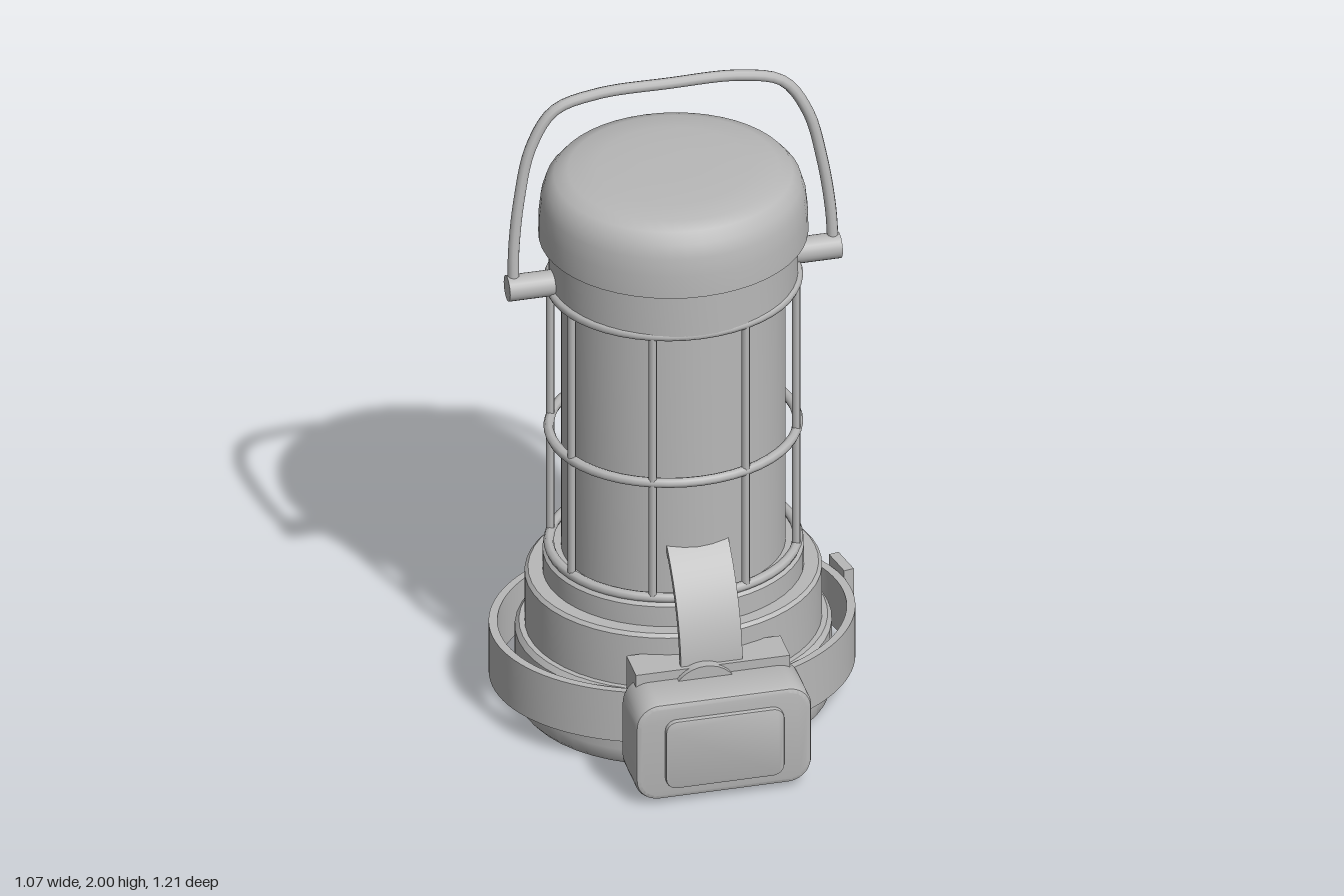
import * as THREE from 'three';
import { toCreasedNormals } from 'three/addons/utils/BufferGeometryUtils.js';

const grey = new THREE.MeshStandardMaterial({ color: 0xb8b8b8 });
grey.name = 'plain grey';
const CX = -0.014; // lantern axis

export function createModel() {
  const model = new THREE.Group();
  model.name = 'lantern';

  const add = (name, geo, x = 0, y = 0, z = 0, parent = model) => {
    const mesh = new THREE.Mesh(geo, grey);
    mesh.name = name;
    mesh.position.set(x, y, z);
    parent.add(mesh);
    return mesh;
  };

  // Turned part, slightly flattened in depth
  const turned = (name, points, depth) => {
    const geo = new THREE.LatheGeometry(points.map(p => new THREE.Vector2(...p)), 48);
    geo.scale(1, 1, depth);
    return add(name, toCreasedNormals(geo, 0.6), CX);
  };

  // Box with rounded corners in the XY plane and bevelled front and back edges
  const pad = (w, h, d, r, bevel) => {
    const a = w / 2 - bevel, b = h / 2 - bevel, s = new THREE.Shape();
    s.moveTo(-a + r, -b);
    s.lineTo(a - r, -b).absarc(a - r, -b + r, r, -Math.PI / 2, 0);
    s.lineTo(a, b - r).absarc(a - r, b - r, r, 0, Math.PI / 2);
    s.lineTo(-a + r, b).absarc(-a + r, b - r, r, Math.PI / 2, Math.PI);
    s.lineTo(-a, -b + r).absarc(-a + r, -b + r, r, Math.PI, Math.PI * 1.5);
    const geo = new THREE.ExtrudeGeometry(s, {
      depth: d - 2 * bevel, bevelSize: bevel, bevelThickness: bevel,
      bevelSegments: 2, curveSegments: 6,
    });
    geo.translate(0, 0, -d / 2 + bevel);
    return toCreasedNormals(geo, 0.6);
  };

  // Stepped base
  turned('base', [
    [0, 0], [0.435, 0], [0.448, 0.015], [0.452, 0.05], [0.452, 0.235], [0.44, 0.25],
    [0.424, 0.25], [0.424, 0.415], [0.414, 0.425], [0.373, 0.425], [0.373, 0.49],
    [0.36, 0.502], [0, 0.502],
  ], 0.912);

  // Glass, collar and domed cap
  turned('glass', [[0.32, 0.49], [0.32, 1.39]], 0.915);
  turned('collar', [[0, 1.375], [0.355, 1.375], [0.355, 1.54], [0, 1.54]], 0.95);
  turned('cap', [
    [0, 1.53], [0.384, 1.53], [0.383, 1.6], [0.377, 1.655], [0.365, 1.695],
    [0.34, 1.725], [0.3, 1.739], [0.22, 1.747], [0.1, 1.75], [0, 1.75],
  ], 0.955);

  // Wire cage: three hoops and eight uprights
  const cage = new THREE.Group();
  cage.name = 'cage';
  cage.position.x = CX;
  model.add(cage);
  for (const y of [0.512, 0.893, 1.38]) {
    const hoop = new THREE.TorusGeometry(0.355, 0.015, 8, 48);
    hoop.rotateX(Math.PI / 2).scale(1, 1, 0.915);
    add('cageHoop', hoop, 0, y, 0, cage);
  }
  for (let i = 0; i < 8; i++) {
    const a = (i + 0.5) * Math.PI / 4;
    add('cageBar', new THREE.CylinderGeometry(0.012, 0.012, 0.88, 8),
      0.355 * Math.cos(a), 0.945, 0.325 * Math.sin(a), cage);
  }

  // Carrying handle leaning slightly back, with its two pivots
  const half = [[0.467, 1.42], [0.463, 1.53], [0.442, 1.69], [0.405, 1.84],
    [0.335, 1.945], [0.21, 1.98]];
  const path = [...half.map(([x, y]) => [-x, y]), [0, 1.984],
    ...half.map(p => [...p]).reverse()];
  const curve = new THREE.CatmullRomCurve3(
    path.map(([x, y]) => new THREE.Vector3(x, y, -(y - 1.41) * 0.108)));
  add('handle', new THREE.TubeGeometry(curve, 64, 0.0165, 10), CX);
  for (const side of [-1, 1]) {
    const pin = new THREE.CylinderGeometry(0.038, 0.038, 0.15, 24);
    pin.rotateZ(Math.PI / 2);
    add('handlePivot', pin, CX + side * 0.411, 1.412, 0);
  }

  // Head strap lying around the base
  const ring = new THREE.Shape().absellipse(0, 0, 0.525, 0.43, 0, Math.PI * 2);
  ring.holes.push(new THREE.Path().absellipse(0, 0, 0.5, 0.41, 0, Math.PI * 2, true));
  const strap = new THREE.ExtrudeGeometry(ring, { depth: 0.165, bevelEnabled: false, curveSegments: 48 });
  strap.rotateX(-Math.PI / 2);
  add('headStrap', toCreasedNormals(strap, 0.6), CX, 0.088, -0.015);
  add('strapBuckle', new THREE.BoxGeometry(0.03, 0.21, 0.1), 0.51, 0.172, -0.13).rotation.y = 0.2;

  // Top strap arching from front to back
  const arch = new THREE.Shape();
  arch.absellipse(0, 0, 0.465, 0.436, 0, Math.PI);
  arch.lineTo(-0.445, 0);
  arch.absellipse(0, 0, 0.445, 0.416, Math.PI, 0, true);
  const over = new THREE.ExtrudeGeometry(arch, { depth: 0.18, bevelEnabled: false, curveSegments: 24 });
  over.rotateY(-Math.PI / 2);
  add('topStrap', toCreasedNormals(over, 0.6), 0.076, 0.33, -0.017);

  // Front lamp
  add('lampMount', new THREE.BoxGeometry(0.45, 0.3, 0.11), CX, 0.21, 0.405);
  const hinge = new THREE.CylinderGeometry(0.1, 0.1, 0.05, 32);
  hinge.rotateX(Math.PI / 2);
  add('lampHinge', hinge, -0.04, 0.27, 0.45);
  add('lampBody', pad(0.515, 0.315, 0.17, 0.055, 0.015), CX, 0.174, 0.505);
  add('lampWindow', pad(0.345, 0.22, 0.03, 0.03, 0.003), CX, 0.168, 0.59);

  // Rear battery box
  add('batteryMount', new THREE.BoxGeometry(0.325, 0.24, 0.09), CX, 0.21, -0.475);
  add('batteryBox', pad(0.445, 0.255, 0.165, 0.04, 0.014), CX, 0.147, -0.523);

  return model;
}
